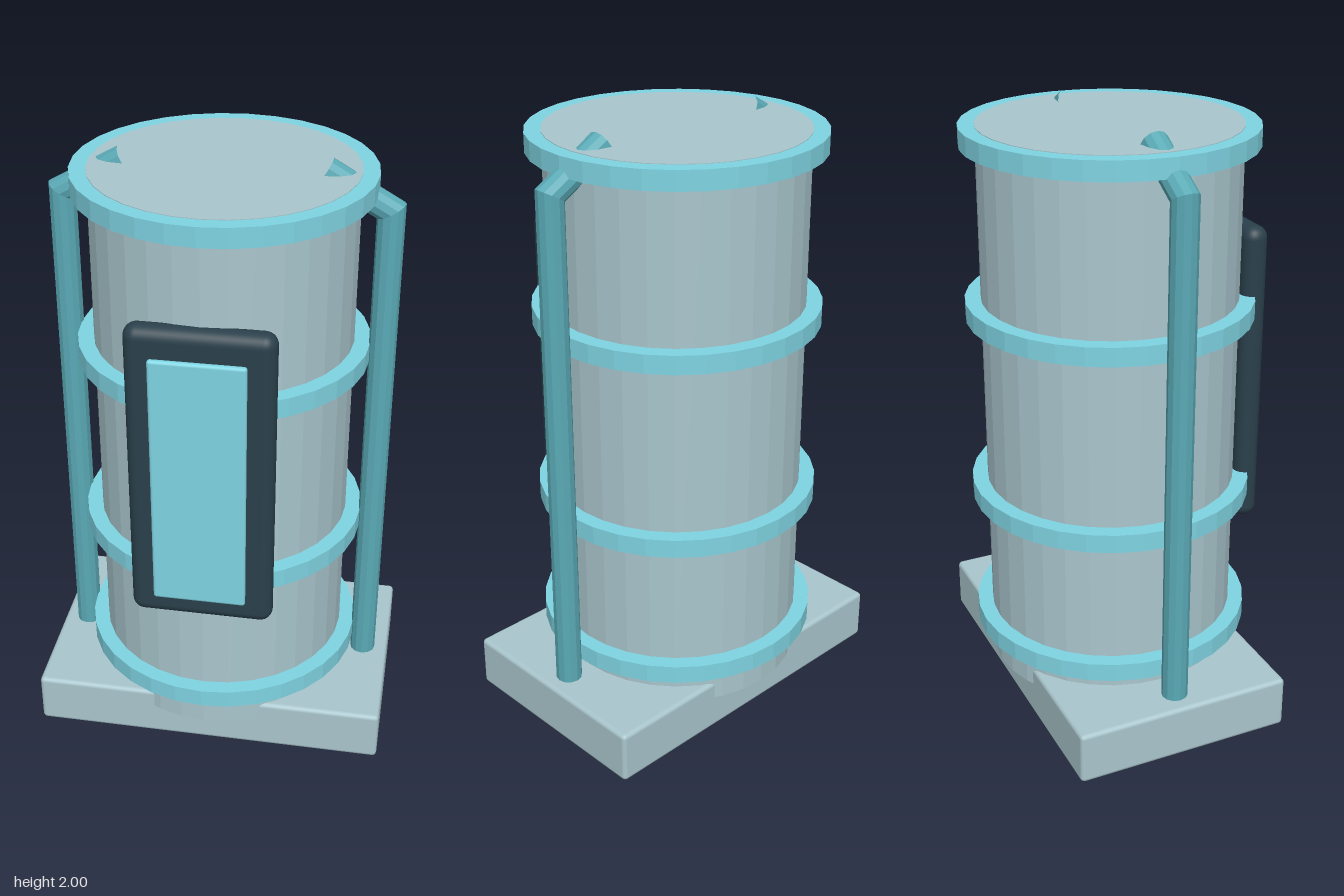
import * as THREE from 'three';
import { RoundedBoxGeometry } from 'three/addons/geometries/RoundedBoxGeometry.js';

const CZ = -0.01; // depth of the drum's axis

const paint = (color, options = {}) => new THREE.MeshStandardMaterial({ color, ...options });

function add(parent, name, geometry, material, x = 0, y = 0, z = 0) {
  const mesh = new THREE.Mesh(geometry, material);
  mesh.name = name;
  mesh.position.set(x, y, z);
  parent.add(mesh);
  return mesh;
}

// Open pipe: an upright run, a mitred elbow, then a run leaning in through the lid
function pipeGeometry(side) {
  const r = 0.043, lean = Math.PI / 6, sides = 12;
  const miter = 1 / Math.cos((Math.PI / 2 - lean) / 2);
  const a = (Math.PI / 2 - lean) / 2;
  const stations = [
    { x: 0.503, y: 0.15, angle: 0, scale: 1 },
    { x: 0.503, y: 1.851, angle: a, scale: miter },
    { x: 0.304, y: 1.964, angle: 2 * a, scale: 1 },
  ];
  const geo = new THREE.CylinderGeometry(r, r, 1, sides, 2, true);
  const p = geo.attributes.position;
  for (let i = 0; i < p.count; i++) {
    const s = stations[Math.round((p.getY(i) + 0.5) * 2)];
    const u = p.getX(i) * side * s.scale;
    p.setXYZ(i, side * (s.x + u * Math.cos(s.angle)), s.y + u * Math.sin(s.angle), p.getZ(i));
  }
  geo.computeVertexNormals();
  return geo;
}

export function createModel() {
  const model = new THREE.Group();
  model.name = 'canister';

  const shell = paint(0xa9c6cd);
  const shellFaceted = paint(0xa9c6cd, { flatShading: true });
  const trim = paint(0x7fd4e2);
  const trimFaceted = paint(0x7fd4e2, { flatShading: true });
  const pipeMaterial = paint(0x5aaab6, { flatShading: true });
  const dark = paint(0x2a404b);

  // Base slab
  add(model, 'base', new RoundedBoxGeometry(1.18, 0.18, 0.74, 2, 0.015), shell, 0, 0.09, -0.01);

  // Drum
  const bottom = 0.12, top = 1.962;
  add(model, 'drum', new THREE.CylinderGeometry(0.414, 0.414, top - bottom, 32),
    shellFaceted, 0, (top + bottom) / 2, CZ);

  // Hoops around the drum
  const hoop = new THREE.CylinderGeometry(0.465, 0.465, 0.062, 32);
  [0.265, 0.746, 1.374, 1.929].forEach((y, i) => add(model, `hoop${i + 1}`, hoop, trimFaceted, 0, y, CZ));

  // Side pipes; mirroring x and the in-plane offset together keeps the faces outward
  for (const side of [1, -1]) {
    const name = side > 0 ? 'leftPipe' : 'rightPipe';
    add(model, name, pipeGeometry(side), pipeMaterial, 0, 0, CZ);
  }

  // Front window: dark frame with a thin bright panel before it
  add(model, 'windowFrame', new RoundedBoxGeometry(0.455, 1.03, 0.083, 4, 0.04), dark, 0, 1.115, 0.404);
  add(model, 'windowPanel', new RoundedBoxGeometry(0.294, 0.856, 0.022, 2, 0.01), trim, 0, 1.117, 0.464);

  return model;
}
